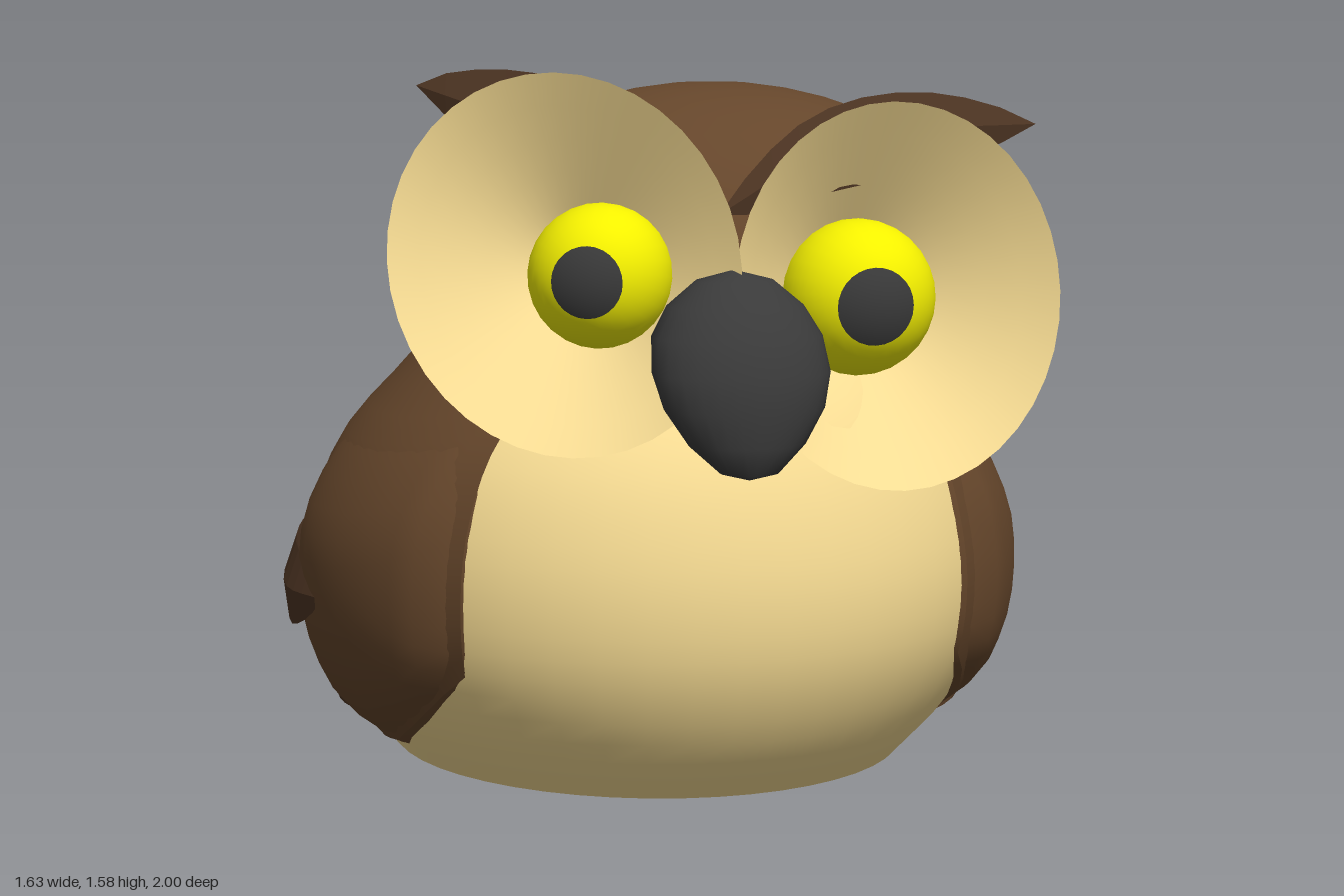
import * as THREE from 'three';

const V = (x, y, z) => new THREE.Vector3(x, y, z);
const mat = (color, flat = false) =>
  new THREE.MeshStandardMaterial({ color, flatShading: flat, side: THREE.DoubleSide });
const BROWN = 0x65462b, DEEP_BROWN = 0x4e3523, CREAM = 0xf8dd94, YELLOW = 0xf4f000;
const DARK = 0x3a3a3a, RED = 0x8c4a40, GREY = 0xcccccc;

// Grid surface from f(u, v) -> Vector3; wrap joins the u ends into a loop
function surface(nu, nv, f, wrap = false) {
  const pos = [], idx = [], cols = wrap ? nu : nu + 1;
  for (let j = 0; j <= nv; j++)
    for (let i = 0; i < cols; i++) pos.push(...f(i / nu, j / nv).toArray());
  for (let j = 0; j < nv; j++)
    for (let i = 0; i < nu; i++) {
      const a = j * cols + i, b = j * cols + (i + 1) % cols;
      idx.push(a, b, b + cols, a, b + cols, a + cols);
    }
  const g = new THREE.BufferGeometry();
  g.setAttribute('position', new THREE.Float32BufferAttribute(pos, 3));
  g.setIndex(idx);
  g.computeVertexNormals();
  return g;
}

// Body cross-sections by height: centre x, back z, front z, half width
const heights = [0.08, 0.2, 0.35, 0.5, 0.65, 0.8, 0.92, 1.02];
const sections = new THREE.CubicInterpolant(heights, [
  0, -0.58, 0.68, 0.56,
  0, -0.63, 0.79, 0.66,
  0, -0.63, 0.87, 0.73,
  0, -0.62, 0.895, 0.75,
  0, -0.59, 0.88, 0.73,
  0.01, -0.52, 0.83, 0.67,
  0.04, -0.44, 0.75, 0.59,
  0.08, -0.36, 0.64, 0.54,
], 4);

// Point on the body: angle runs from the front towards +x
function bodyPoint(angle, y, out = 0) {
  const [cx, zb, zf, rx] = sections.evaluate(y);
  return V(cx + (rx + out) * Math.sin(angle), y, (zb + zf) / 2 + ((zf - zb) / 2 + out) * Math.cos(angle));
}

// Lower edge of the brown plumage by angle away from the front
function hem(a) {
  const k = [[0.75, 0.38], [1.04, 0.22], [1.27, 0.14], [1.74, 0.09], [2.3, 0.19], [Math.PI, 0.36]];
  for (let i = 1; i < k.length; i++)
    if (a <= k[i][0]) return THREE.MathUtils.mapLinear(a, k[i - 1][0], k[i][0], k[i - 1][1], k[i][1]);
  return 0.36;
}

// Pointed leaf with a diamond section along a curve
function leaf(points, across, halfWidth, halfThick) {
  const curve = new THREE.CatmullRomCurve3(points);
  const w = across.clone().normalize();
  return surface(4, 10, (u, v) => {
    const t = curve.getTangent(v), n = V(0, 0, 0).crossVectors(t, w).normalize();
    const s = Math.pow(Math.sin(Math.PI * v), 0.75), a = u * Math.PI * 2;
    return curve.getPoint(v)
      .addScaledVector(w, Math.cos(a) * halfWidth * s)
      .addScaledVector(n, Math.sin(a) * halfThick * s);
  }, true);
}

export function createModel() {
  const model = new THREE.Group();
  const add = (name, geometry, color, flat, parent = model) => {
    const m = new THREE.Mesh(geometry, mat(color, flat));
    m.name = name;
    parent.add(m);
    return m;
  };

  // Cream body, flat base and brown plumage shell
  add('body', surface(48, 20, (u, v) => bodyPoint(u * Math.PI * 2, 0.08 + 0.94 * v), true), CREAM);
  add('base', surface(48, 1, (u, v) =>
    (v ? bodyPoint(u * Math.PI * 2, 0.08) : V(0, 0.08, 0.05)), true), RED);
  add('plumage', surface(48, 16, (u, v) => {
    const a = 0.79 + u * (2 * Math.PI - 1.58);
    const low = hem(Math.min(a, 2 * Math.PI - a));
    return bodyPoint(a, low + (1.02 - low) * v, 0.015);
  }), BROWN);
  const rump = add('rump', new THREE.SphereGeometry(1, 20, 12), CREAM);
  rump.scale.set(0.23, 0.13, 0.2);
  rump.position.set(-0.16, 0.25, -0.49);

  // Head
  const head = add('head', new THREE.SphereGeometry(1, 40, 24), BROWN);
  head.scale.set(0.655, 0.46, 0.51);
  head.position.set(0.125, 1.08, 0.13);
  head.rotation.y = -0.13;

  // Wings with feather tips
  for (const s of [1, -1]) {
    const wing = new THREE.Group();
    wing.name = s > 0 ? 'leftWing' : 'rightWing';
    model.add(wing);
    const onBody = (a, y, out) => bodyPoint(s * a, y, out);
    add('wingPanel', surface(14, 14, (u, v) => {
      const a = 0.76 + u * 1.19, low = hem(a) - 0.01;
      const rise = Math.min(1, 7 * u, 4 * (1 - u)) * Math.min(1, 8 * v + 0.2, 2.5 * (1 - v));
      return onBody(a, low + (0.95 - low) * v, -0.01 + 0.05 * rise);
    }), BROWN, false, wing);
    const up = V(-s * 0.1, 1, 0);
    // Angle and height at root, middle and tip, then half width
    const feathers = [
      [1.38, 0.46, 1.68, 0.46, 1.96, 0.56, 0.085],
      [1.6, 0.4, 1.9, 0.41, 2.18, 0.46, 0.06],
      [1.75, 0.15, 2.02, 0.21, 2.28, 0.25, 0.055],
    ];
    for (const [a0, y0, a1, y1, a2, y2, w] of feathers)
      add('wingFeather', leaf([onBody(a0, y0, 0.035), onBody(a1, y1, 0.05), onBody(a2, y2, 0.035)],
        up, w, 0.02), DEEP_BROWN, true, wing);
  }

  // Face discs: tilted cones, each holding a domed eye
  const faces = [
    { side: 'left', c: V(0.355, 1.135, 0.785), a: 0.355, b: 0.395, sx: -0.06, sy: -0.13,
      eye: V(0.3, 1.122, 0.665), r: 0.163, look: V(-0.02, -0.03, 1) },
    { side: 'right', c: V(-0.325, 1.205, 0.67), a: 0.335, b: 0.385, sx: 0.46, sy: -0.22,
      eye: V(-0.235, 1.175, 0.62), r: 0.15, look: V(-0.42, 0, 0.9) },
  ];
  for (const f of faces) {
    const face = new THREE.Group();
    face.name = f.side + 'Face';
    model.add(face);
    const hollow = f.eye.clone().setZ(f.eye.z - 0.16);
    add('faceDisc', surface(40, 6, (u, v) => {
      const dx = f.a * Math.cos(u * Math.PI * 2), dy = -f.b * Math.sin(u * Math.PI * 2);
      const rim = V(f.c.x + dx, f.c.y + dy, f.c.z + f.sx * dx + f.sy * dy);
      return hollow.clone().lerp(rim, v);
    }, true), CREAM, false, face);
    const dome = (name, r, reach, color, dir) => {
      const m = add(name, new THREE.SphereGeometry(r, 28, 12, 0, Math.PI * 2, 0, reach), color, false, face);
      m.position.copy(f.eye);
      m.quaternion.setFromUnitVectors(V(0, 1, 0), dir.normalize());
    };
    dome('eye', f.r, Math.PI / 2, YELLOW, V(-f.sx, -f.sy, 1));
    dome('pupil', f.r * 1.01, 0.51, DARK, f.look);
  }

  // Brows
  add('leftBrow', leaf([V(0, 1.3, 0.68), V(0.2, 1.41, 0.645), V(0.45, 1.46, 0.61), V(0.705, 1.47, 0.61)],
    V(0, 1, -0.1), 0.09, 0.025), DEEP_BROWN, true);
  add('rightBrow', leaf([V(-0.02, 1.3, 0.66), V(-0.17, 1.42, 0.52), V(-0.36, 1.485, 0.39), V(-0.555, 1.55, 0.29)],
    V(0, 1, 0), 0.11, 0.03), DEEP_BROWN, true);

  // Beak: stacked ovals (y, centre z, half width, half depth)
  const beak = [
    [0.79, 0.925, 0.002, 0.002], [0.805, 0.925, 0.06, 0.05], [0.86, 0.905, 0.12, 0.085],
    [0.93, 0.885, 0.165, 0.112], [1.0, 0.86, 0.183, 0.132], [1.07, 0.825, 0.175, 0.14],
    [1.13, 0.81, 0.14, 0.115], [1.18, 0.805, 0.08, 0.065], [1.2, 0.8, 0.002, 0.002],
  ];
  add('beak', surface(28, beak.length - 1, (u, v) => {
    const [y, z, rx, rz] = beak[Math.round(v * (beak.length - 1))], a = u * Math.PI * 2;
    return V(rx * Math.sin(a), y, z + rz * Math.cos(a));
  }, true), DARK);

  // Tail feathers: ridged strips, each with two coloured halves and a grey underside
  const tails = [
    { base: V(-0.33, 0.27, -0.54), tip: V(-0.445, 0.11, -0.85), w: 0.075, colors: [BROWN, GREY] },
    { base: V(-0.17, 0.27, -0.56), tip: V(-0.265, 0.03, -1), w: 0.085, colors: [BROWN, BROWN] },
    { base: V(0.085, 0.285, -0.55), tip: V(-0.035, 0.09, -0.96), w: 0.075, colors: [GREY, BROWN] },
  ];
  for (const t of tails) {
    const feather = new THREE.Group();
    feather.name = 'tailFeather';
    model.add(feather);
    const half = (side, sink) => surface(1, 2, (u, v) => {
      const p = t.base.clone().lerp(t.tip, v === 0.5 ? 0.85 : v);
      const w = v === 1 ? 0.3 : 1;
      return p.add(V(side * u * t.w * w, -(sink * (1 - u) + u * 0.025) * w, 0));
    });
    [-1, 1].forEach((side, i) => {
      add('featherTop', half(side, 0), t.colors[i], true, feather);
      add('featherUnderside', half(side, 0.05), GREY, true, feather);
    });
  }
  return model;
}
